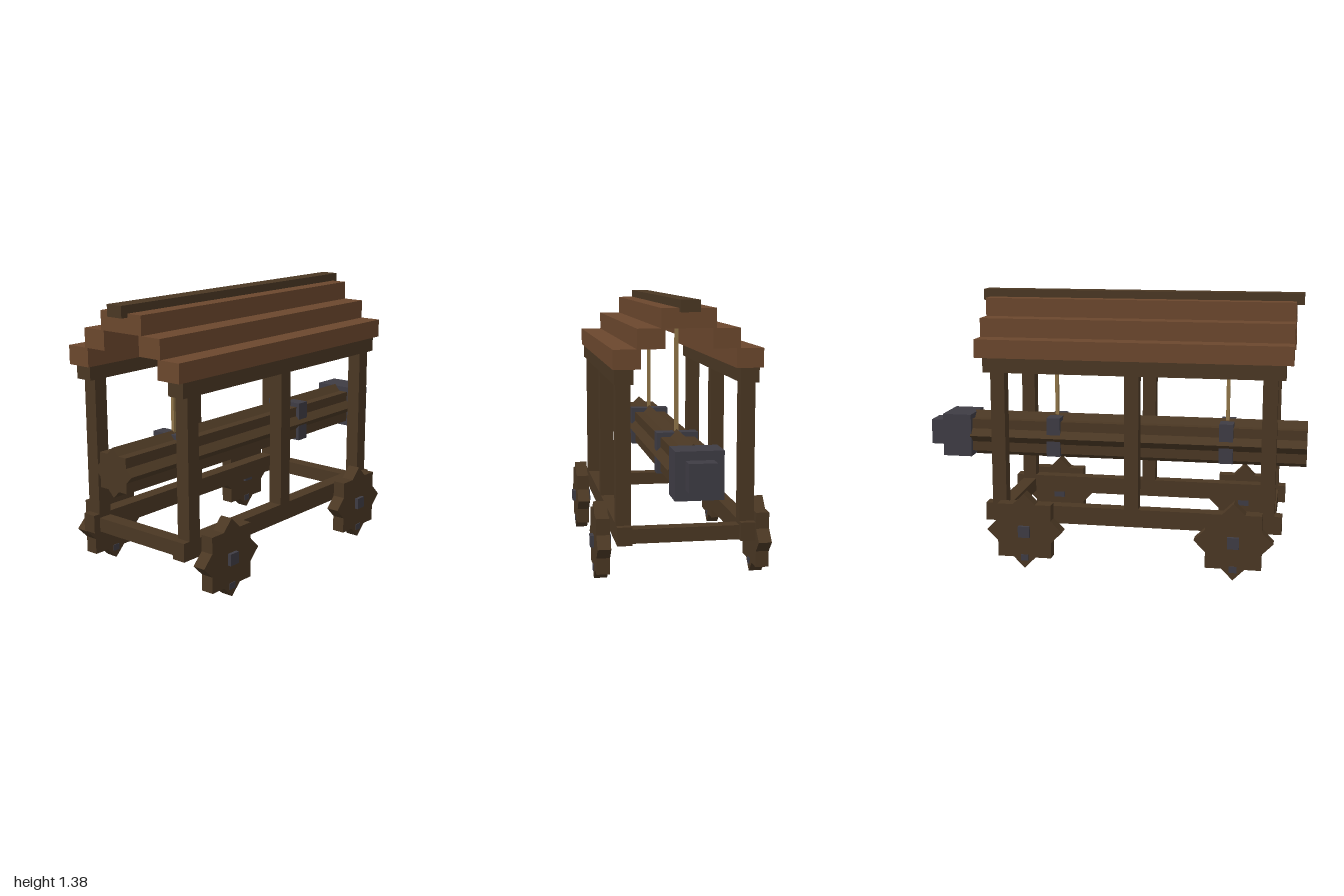
import * as THREE from 'three';

const mat = (name, color) => {
  const m = new THREE.MeshStandardMaterial({ color });
  m.name = name;
  return m;
};

export function createModel() {
  const timber = mat('dark timber', 0x4a3723);
  const plank = mat('roof plank', 0x6b472d);
  const iron = mat('iron', 0x3e3c44);
  const rope = mat('rope', 0x8f7448);

  const model = new THREE.Group();
  model.name = 'batteringRam';

  // box given by its extents along each axis
  const box = (name, m, [x0, x1], [y0, y1], [z0, z1], parent = model) => {
    const mesh = new THREE.Mesh(new THREE.BoxGeometry(x1 - x0, y1 - y0, z1 - z0), m);
    mesh.position.set((x0 + x1) / 2, (y0 + y1) / 2, (z0 + z1) / 2);
    mesh.name = name;
    parent.add(mesh);
    return mesh;
  };
  const around = (c, half) => [c - half, c + half];
  const side = (s, a, b) => (s > 0 ? [a, b] : [-b, -a]);

  // eight-pointed prism: the outline of two squares crossed at 45 degrees
  const starPrism = (radius, depth) => {
    const valley = (radius * Math.SQRT1_2) / Math.cos(Math.PI / 8);
    const points = [];
    for (let i = 0; i < 16; i++) {
      const r = i % 2 ? valley : radius;
      const a = (i * Math.PI) / 8;
      points.push(new THREE.Vector2(r * Math.cos(a), r * Math.sin(a)));
    }
    const g = new THREE.ExtrudeGeometry(new THREE.Shape(points), { depth, bevelEnabled: false });
    return g.translate(0, 0, -depth / 2);
  };

  // frame, roof steps and wheels, mirrored left and right
  const wheelGeometry = starPrism(0.195, 0.066).rotateY(Math.PI / 2);
  for (const s of [1, -1]) {
    const label = s > 0 ? 'left' : 'right';
    box(label + 'BaseRail', timber, side(s, 0.265, 0.337), [0.222, 0.313], [-0.62, 0.89]);
    box(label + 'TopBeam', timber, side(s, 0.256, 0.347), [0.993, 1.068], [-0.62, 0.89]);
    for (const z of [0.817, 0.137, -0.547])
      box(label + 'Post', timber, side(s, 0.265, 0.337), [0.3, 1.0], around(z, 0.036));

    box(label + 'LowerRoofPlank', plank, side(s, 0.227, 0.357), [1.067, 1.16], [-0.66, 0.925]);
    box(label + 'MiddleRoofPlank', plank, side(s, 0.113, 0.244), [1.16, 1.255], [-0.66, 0.925]);

    for (const z of [0.66, -0.395]) {
      const group = new THREE.Group();
      group.name = label + 'Wheel';
      const wheel = new THREE.Mesh(wheelGeometry, timber);
      wheel.name = 'wheelDisc';
      wheel.position.set(s * 0.395, 0.2, z);
      group.add(wheel);
      box('hub', iron, side(s, 0.344, 0.446), around(0.198, 0.029), around(z, 0.029), group);
      box('wheelPin', iron, side(s, 0.358, 0.432), around(0.06, 0.016), around(z, 0.019), group);
      model.add(group);
    }
  }

  // cross rails joining the base
  for (const z of [0.817, -0.547])
    box('crossRail', timber, [-0.267, 0.267], [0.222, 0.293], around(z, 0.036));

  // roof top and ridge
  box('upperRoofPlank', plank, [-0.13, 0.13], [1.255, 1.348], [-0.66, 0.925]);
  box('ridgeBeam', timber, [-0.046, 0.046], [1.33, 1.387], [-0.695, 0.963]);

  // swinging log with iron head
  const axisY = 0.612;
  const log = new THREE.Mesh(starPrism(0.121, 1.77), timber);
  log.name = 'ramLog';
  log.position.set(0, axisY, 0.115);
  model.add(log);
  box('ramHead', iron, around(0, 0.113), around(axisY, 0.113), [-0.92, -0.765]);
  box('ramTip', iron, around(0, 0.065), around(axisY + 0.005, 0.066), [-1, -0.915]);

  // iron bands and the ropes that carry them
  for (const z of [0.59, -0.318]) {
    box('ramBand', iron, around(0, 0.104), around(axisY + 0.005, 0.103), around(z, 0.036));
    box('rope', rope, around(0, 0.009), [0.715, 1.26], around(z, 0.009));
  }
  return model;
}
